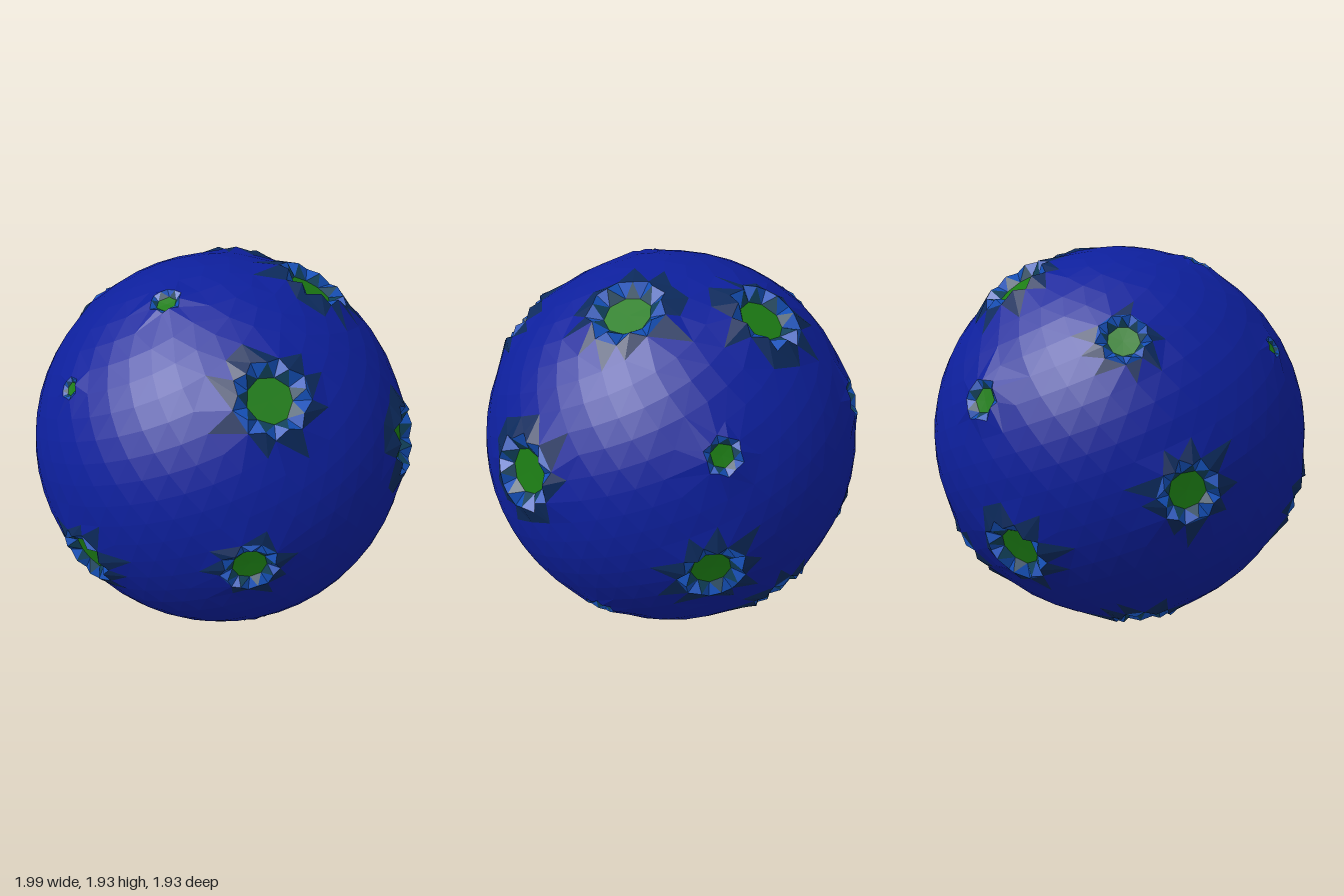
import * as THREE from 'three';
import { ConvexGeometry } from 'three/addons/geometries/ConvexGeometry.js';

const RADIUS = 0.965;
const CENTRE = new THREE.Vector3(-0.01, 0.965, -0.01);

// Craters: direction from the planet's centre, then outer rim radius
const craters = [
  [0.43, 0.605, 0.63, 0.19], [0.41, -0.145, 0.87, 0.145], [-0.43, -0.295, 0.81, 0.17],
  [-0.54, 0.505, 0.62, 0.06], [-0.15, 0.88, 0.36, 0.085], [0.3, -0.825, 0.39, 0.08],
  [-0.48, -0.83, 0, 0.17], [0.95, 0.155, 0.02, 0.2], [0.43, 0.85, -0.14, 0.2],
  [-0.07, 0.79, -0.54, 0.2], [0.46, 0.355, -0.77, 0.1], [0.52, -0.225, -0.78, 0.17],
  [0.72, -0.605, -0.22, 0.085], [0.02, -0.58, -0.77, 0.18], [-0.73, 0.6, -0.17, 0.13],
  [-0.49, 0.31, -0.77, 0.11], [-0.96, -0.05, 0.07, 0.16], [-0.6, -0.39, -0.65, 0.18],
].map(([x, y, z, r]) => ({ dir: new THREE.Vector3(x, y, z).normalize(), r }));

let seed = 7;
const random = () => (seed = (seed * 16807) % 2147483647) / 2147483647;

// Crater with the smallest distance measured in its own radii
function nearest(v) {
  let best = { t: Infinity };
  for (const { dir, r } of craters) {
    const t = v.angleTo(dir) / r;
    if (t < best.t) best = { t, r };
  }
  return best;
}

// Height profile, in crater radii: floor, wall, raised crest, outer foot
const profile = [[0, -0.17], [0.64, -0.13], [0.77, 0.17], [0.87, 0.17], [1.06, 0.05], [1.35, 0]];
function height(t) {
  for (let i = 1; i < profile.length; i++) {
    const [t0, h0] = profile[i - 1], [t1, h1] = profile[i];
    if (t <= t1) return THREE.MathUtils.lerp(h0, h1, (t - t0) / (t1 - t0));
  }
  return 0;
}

// Unit directions: staggered rings in every crater, an even spread elsewhere
function directions() {
  const points = [];
  const zAxis = new THREE.Vector3(0, 0, 1);
  for (const { dir, r } of craters) {
    const turn = new THREE.Quaternion().setFromUnitVectors(zAxis, dir);
    const sides = r > 0.12 ? 9 : 6;
    const start = random() * Math.PI;
    points.push(dir.clone());
    [0.6, 0.82, 1.01].forEach((t, ring) => {
      for (let i = 0; i < sides; i++) {
        const a = start + ((i + ring / 2 + (random() - 0.5) * 0.2) / sides) * Math.PI * 2;
        const theta = r * (t + (random() - 0.5) * 0.06);
        points.push(new THREE.Vector3(
          Math.sin(theta) * Math.cos(a), Math.sin(theta) * Math.sin(a), Math.cos(theta),
        ).applyQuaternion(turn));
      }
    });
  }
  const count = 850;
  for (let i = 0; i < count; i++) {
    const y = 1 - (2 * (i + 0.5)) / count;
    const a = i * Math.PI * (3 - Math.sqrt(5));
    const s = Math.sqrt(1 - y * y);
    const v = new THREE.Vector3(s * Math.cos(a), y, s * Math.sin(a));
    if (craters.every(({ dir, r }) => v.angleTo(dir) > r * 1.04 + 0.05)) points.push(v);
  }
  return points;
}

// Surface part for a triangle whose middle lies at t crater radii
function partAt({ t, r }) {
  if (t < 0.5) return 'craterFloors';
  if (t < 0.76) return 'craterWalls';
  if (t < 0.98) return 'craterRims';
  if (r > 0.12 && t < 1.3) return 'craterHalos';
  return 'planetSurface';
}

export function createModel() {
  const group = new THREE.Group();
  group.name = 'crateredPlanet';
  const colors = {
    planetSurface: 0x0d1f9c, craterHalos: 0x0c2a5c, craterRims: 0x1450b8,
    craterWalls: 0x10405a, craterFloors: 0x1c7c14,
  };
  const parts = Object.fromEntries(Object.keys(colors).map((name) => [name, []]));

  // Triangulate the directions, then sink and raise them into craters
  const hull = new ConvexGeometry(directions()).getAttribute('position');
  for (let i = 0; i < hull.count; i += 3) {
    const corners = [0, 1, 2].map((k) => new THREE.Vector3().fromBufferAttribute(hull, i + k));
    const middle = new THREE.Vector3();
    corners.forEach((v) => middle.add(v));
    const target = parts[partAt(nearest(middle.normalize()))];
    for (const v of corners) {
      const { t, r } = nearest(v);
      v.setLength(RADIUS + r * height(t)).add(CENTRE);
      target.push(v.x, v.y, v.z);
    }
  }

  // One flat-shaded mesh per coloured part
  for (const [name, positions] of Object.entries(parts)) {
    const geometry = new THREE.BufferGeometry();
    geometry.setAttribute('position', new THREE.Float32BufferAttribute(positions, 3));
    geometry.computeVertexNormals();
    const material = new THREE.MeshStandardMaterial({ color: colors[name], flatShading: true });
    const mesh = new THREE.Mesh(geometry, material);
    mesh.name = name;
    group.add(mesh);
  }
  return group;
}
